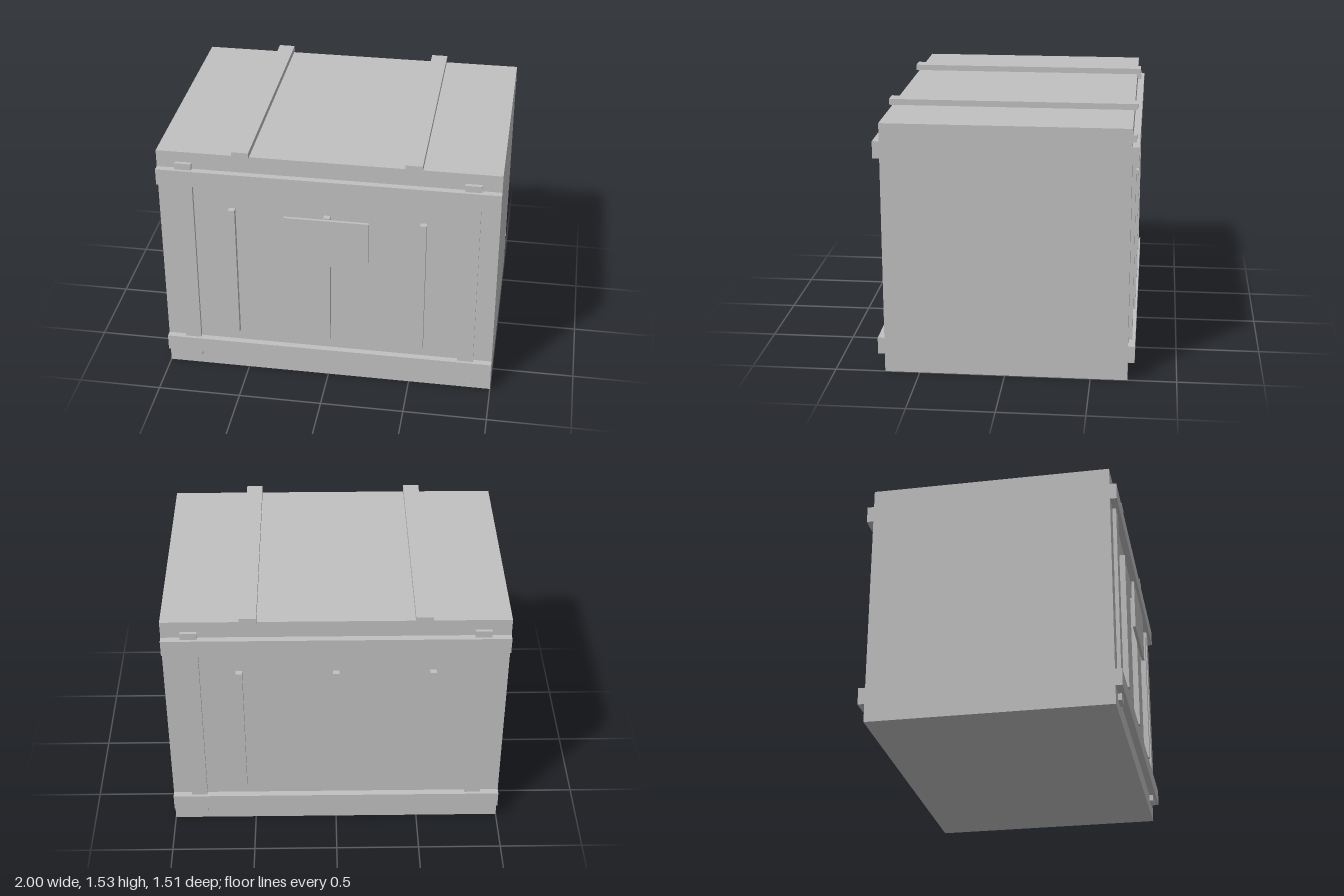
import * as THREE from 'three';

export function createModel() {
  const crate = new THREE.Group();
  crate.name = 'crate';
  const grey = new THREE.MeshStandardMaterial({ color: 0xc0c0c0 });
  grey.name = 'grey';

  // Box given by its lower and upper corners
  function box(name, [x0, y0, z0], [x1, y1, z1], parent) {
    const mesh = new THREE.Mesh(new THREE.BoxGeometry(x1 - x0, y1 - y0, z1 - z0), grey);
    mesh.position.set((x0 + x1) / 2, (y0 + y1) / 2, (z0 + z1) / 2);
    mesh.name = name;
    parent.add(mesh);
  }

  // Depths are measured from the middle of the body
  const shell = new THREE.Group();
  shell.name = 'shell';
  shell.position.z = -0.005;
  crate.add(shell);
  const face = 0.71;
  box('body', [-1, 0, -face], [1, 1.5, face], shell);

  // Lid straps, slightly overhanging front and back
  for (const x of [-0.5, 0.5]) {
    box('lidStrap', [x - 0.049, 1.5, -0.73], [x + 0.049, 1.535, 0.73], shell);
  }

  // Matching framing on the front and back
  for (const side of ['front', 'back']) {
    const frame = new THREE.Group();
    frame.name = side + 'Frame';
    if (side === 'back') frame.rotation.y = Math.PI;
    shell.add(frame);
    for (const y of [0.11, 1.295]) {
      box('rail', [-1, y, face], [1, y + 0.1, 0.75], frame);
    }
    for (const x of [-0.84, 0.84]) {
      box('post', [x - 0.048, 0.07, face], [x + 0.048, 1.435, 0.732], frame);
    }
    for (const x of [-0.563, 0, 0.563]) {
      box('batten', [x - 0.019, 0.28, face], [x + 0.019, 1.15, 0.743], frame);
    }
  }

  // Blank plate across the middle front batten
  box('namePlate', [-0.25, 0.83, 0.743], [0.25, 1.142, 0.76], shell);

  return crate;
}
